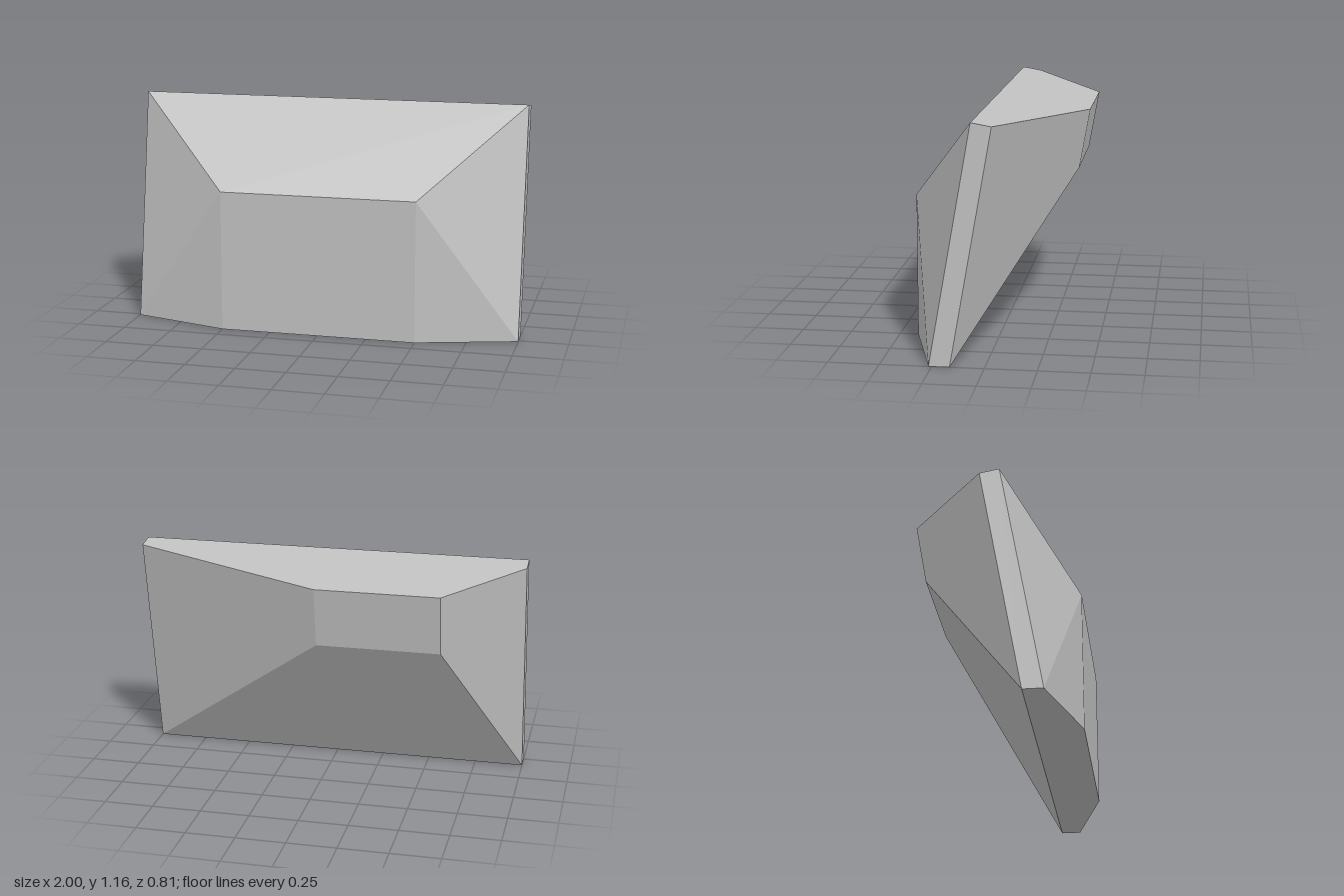
import * as THREE from 'three';

// Corners of a four-sided outline, counter-clockwise seen from the front.
// x0/x1: left and right edge; each level is [y, z].
const ring = (x0, x1, [yLow, zLow], [yHigh, zHigh]) => [
  [x0, yLow, zLow], [x1, yLow, zLow], [x1, yHigh, zHigh], [x0, yHigh, zHigh],
];

// Flat-faced solid from planar polygons, each cut into a triangle fan.
function facetedSolid(points, faces) {
  const positions = [];
  for (const face of faces) {
    for (let i = 1; i < face.length - 1; i++) {
      for (const k of [face[0], face[i], face[i + 1]]) positions.push(...points[k]);
    }
  }
  const geometry = new THREE.BufferGeometry();
  geometry.setAttribute('position', new THREE.Float32BufferAttribute(positions, 3));
  geometry.computeVertexNormals();
  return geometry;
}

export function createModel() {
  const group = new THREE.Group();
  group.name = 'facetedBlock';
  const grey = new THREE.MeshStandardMaterial({ color: 0xc0c0c0 });
  grey.name = 'plain grey';

  const points = [
    ...ring(-1, 1, [0, 0.265], [1.163, 0.06]),            // 0-3 front rim
    ...ring(-0.5, 0.5, [0, 0.408], [0.718, 0.408]),       // 4-7 front panel
    ...ring(-1, 1, [0, 0.165], [1.146, -0.037]),          // 8-11 back rim
    ...ring(-0.625, 0, [0.775, -0.352], [1.08, -0.406]),  // 12-15 offset back panel
  ];

  const faces = [
    [4, 5, 6, 7], [7, 6, 2, 3],          // front panel and slope above it
    [5, 1, 6], [1, 2, 6],                // front bevel, left
    [0, 4, 7], [0, 7, 3],                // front bevel, right
    [1, 9, 10, 2], [8, 0, 3, 11],        // narrow sides
    [3, 2, 10, 14, 15, 11],              // top
    [0, 8, 9, 1, 5, 4],                  // base
    [13, 12, 15, 14], [9, 8, 12, 13],    // back panel and underside
    [9, 13, 14, 10], [12, 8, 11, 15],    // back bevels
  ];

  const block = new THREE.Mesh(facetedSolid(points, faces), grey);
  block.name = 'block';
  group.add(block);
  return group;
}
